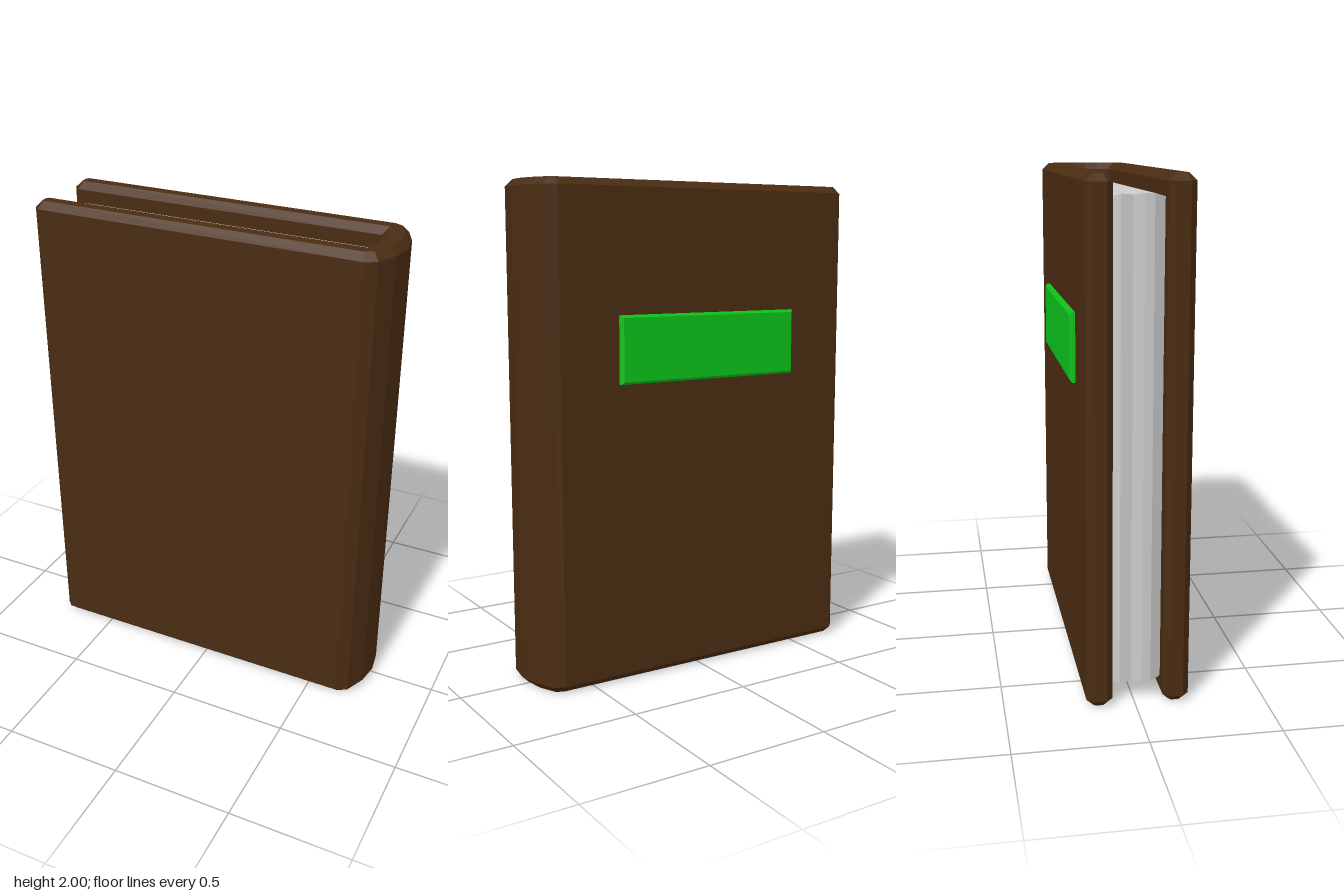
import * as THREE from 'three';

function part(name, geometry, color) {
  const material = new THREE.MeshStandardMaterial({ color });
  material.flatShading = true;
  const mesh = new THREE.Mesh(geometry, material);
  mesh.name = name;
  return mesh;
}

// Moves every vertex by a rule, then makes the facets flat
function reshape(geometry, rule) {
  const p = geometry.attributes.position;
  const v = new THREE.Vector3();
  for (let i = 0; i < p.count; i++) {
    rule(v.fromBufferAttribute(p, i));
    p.setXYZ(i, v.x, v.y, v.z);
  }
  const flat = geometry.toNonIndexed();
  flat.computeVertexNormals();
  return flat;
}

// Cover: U-shaped cross-section with a rounded spine, chamfered all round
function makeCover() {
  const midZ = 0.01, bevel = 0.028;
  // Half of the section as [x, distance from the middle plane], spine first
  const outer = [[0.732, 0], [0.718, 0.09], [0.68, 0.175], [0.635, 0.198],
    [-0.71, 0.198], [-0.735, 0.173], [-0.735, 0.122], [-0.71, 0.098]];
  const inner = [[0.6, 0.098], [0.615, 0.05], [0.62, 0]];
  const half = [...outer, ...inner];
  const mirrored = half.slice(1, -1).reverse().map(([x, d]) => [x, -d]);
  const shape = new THREE.Shape([...half, ...mirrored].map(([x, d]) => new THREE.Vector2(x, d)));
  const geometry = new THREE.ExtrudeGeometry(shape, {
    depth: 2 - 2 * bevel, bevelEnabled: true, bevelSegments: 1,
    bevelSize: bevel, bevelThickness: bevel, bevelOffset: -bevel,
  });
  geometry.rotateX(-Math.PI / 2);
  geometry.translate(0, bevel, midZ);
  return part('cover', geometry, 0x4a2c12);
}

// Page block: slightly uneven layers with set-back outer leaves
function makePages() {
  const layers = [[-0.092, 0.027], [-0.055, 0.005], [-0.01, 0.012],
    [0.03, 0], [0.065, 0.002], [0.107, 0.027]];
  const geometry = reshape(new THREE.BoxGeometry(2, 2, 5, 1, 1, 5), (v) => {
    const [z, inset] = layers[Math.round(v.z + 2.5)];
    v.set(v.x < 0 ? -0.687 + inset : 0.6, 1 + Math.sign(v.y) * (0.93 - inset * 0.5), z);
  });
  return part('pages', geometry, 0xcccccc);
}

// Title plate: thin plate on the back face with a chamfered rim
function makePlate() {
  const geometry = reshape(new THREE.BoxGeometry(0.835, 0.27, 0.03, 1, 1, 2), (v) => {
    if (v.z < -0.001) {
      v.x -= Math.sign(v.x) * 0.01;
      v.y -= Math.sign(v.y) * 0.01;
      v.z = -0.015;
    } else if (v.z < 0.001) v.z = -0.006;
  });
  geometry.translate(-0.037, 1.347, -0.194);
  return part('titlePlate', geometry, 0x0cc41a);
}

export function createModel() {
  const book = new THREE.Group();
  book.name = 'book';
  book.add(makeCover(), makePages(), makePlate());
  return book;
}
